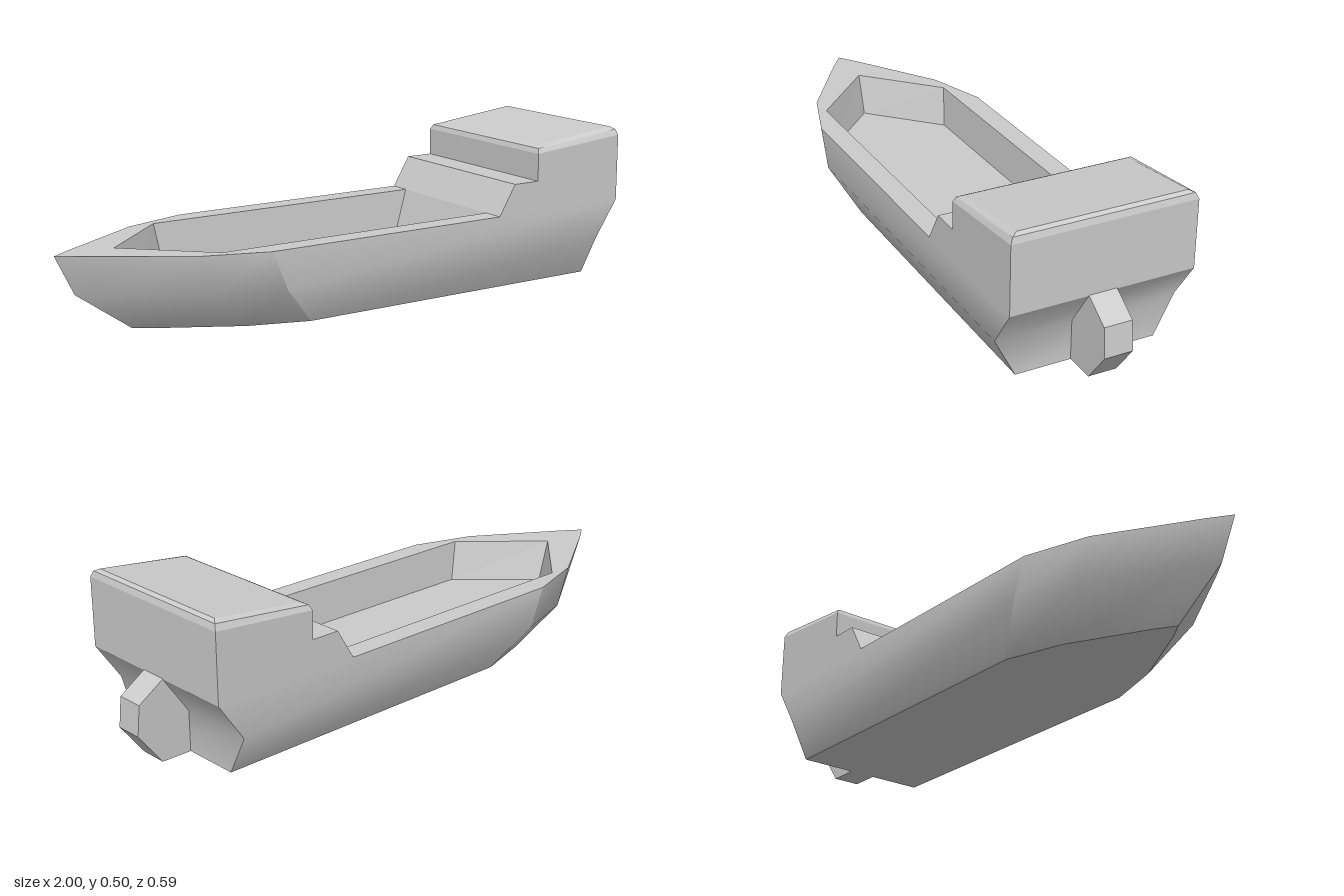
import * as THREE from 'three';

const material = new THREE.MeshStandardMaterial({ color: 0xcccccc });
const HALF = 0.297, DECK = 0.255, CHINE = 0.13, FLOOR = 0.12;

// Skin over rows of [x, y, z] points; each row has the same count
function skin(rows, closed = false, flat = false) {
  const n = rows[0].length, index = [];
  for (let i = 0; i < rows.length - 1; i++) {
    for (let j = 0; j < (closed ? n : n - 1); j++) {
      const k = (j + 1) % n;
      const a = i * n + j, b = i * n + k, c = a + n, d = b + n;
      index.push(a, b, d, a, d, c);
    }
  }
  let geo = new THREE.BufferGeometry();
  geo.setAttribute('position', new THREE.Float32BufferAttribute(rows.flat(2), 3));
  geo.setIndex(index);
  if (flat) geo = geo.toNonIndexed();
  geo.computeVertexNormals();
  return geo;
}

// Full symmetric loop from the half outline [x, z], running counter-clockwise from above
function loop(half) {
  const other = half.filter(p => p[1] > 0).reverse().map(([x, z]) => [x, -z]);
  return [...half, ...other];
}

const toShape = pts => new THREE.Shape(pts.map(([x, y]) => new THREE.Vector2(x, y)));

// Horizontal plate facing up (dir = 1) or down (dir = -1)
function plate(shape, y, dir = 1) {
  return new THREE.ShapeGeometry(shape).rotateX(-dir * Math.PI / 2).translate(0, y, 0);
}

// Side profile extruded across the beam
function slab(pts, width, zMid = 0) {
  return new THREE.ExtrudeGeometry(toShape(pts), { depth: width, bevelEnabled: false })
    .translate(0, 0, zMid - width / 2);
}

export function createModel() {
  const group = new THREE.Group();
  const add = (name, geo) => {
    const mesh = new THREE.Mesh(geo, material);
    mesh.name = name;
    group.add(mesh);
  };

  // Half outlines [x, z] from stem to stern at keel, chine and deck
  const levels = [
    { y: 0, pts: [[-0.76, 0], [-0.7, 0.04], [-0.46, 0.17], [-0.27, 0.23], [0.82, 0.23]] },
    { y: CHINE, pts: [[-0.94, 0], [-0.87, 0.05], [-0.6, 0.23], [-0.39, HALF], [0.82, HALF]] },
    { y: DECK, pts: [[-1, 0], [-0.93, 0.05], [-0.65, 0.23], [-0.44, HALF], [0.905, HALF]] },
  ];

  // Hull sides, with a crease at the shoulder between bow and body
  for (const [side, s] of [['left', 1], ['right', -1]]) {
    for (const [part, from, to] of [['Bow', 0, 4], ['Hull', 3, 5]]) {
      const rows = levels.map(({ y, pts }) => {
        const row = pts.slice(from, to).map(([x, z]) => [x, y, z * s]);
        return s > 0 ? row : row.reverse();
      });
      add(side + part, skin(rows));
    }
  }

  // Stern plate, raked outward above the chine
  add('transom', skin(levels.map(({ y, pts }) => {
    const [x, z] = pts[4];
    return [[x, y, z], [x, y, -z]];
  })));
  add('hullBottom', plate(toShape(loop(levels[0].pts)), 0, -1));

  // Deck with the open cargo hold
  const rim = loop([[-0.81, 0], [-0.57, 0.226], [0.405, 0.226]]);
  const base = loop([[-0.77, 0], [-0.545, 0.216], [0.36, 0.216]]);
  const deck = toShape(loop(levels[2].pts));
  deck.holes.push(new THREE.Path(rim.map(([x, z]) => new THREE.Vector2(x, z))));
  add('deck', plate(deck, DECK));
  add('holdWalls', skin([
    rim.map(([x, z]) => [x, DECK, z]),
    base.map(([x, z]) => [x, FLOOR, z]),
  ], true, true));
  add('holdFloor', plate(toShape(base), FLOOR));

  // Sloped step in front of the deckhouse
  add('deckhouseStep', slab([[0.405, DECK], [0.57, DECK], [0.57, 0.355], [0.465, 0.355]], 2 * HALF));

  // Deckhouse: rings [inset, front y, back y] up to a bevelled, tilted roof
  const rings = [[0, DECK, DECK], [0, 0.445, 0.476], [0.009, 0.461, 0.495], [0.026, 0.467, 0.503]];
  const house = rings.map(([d, yf, yb]) => {
    const x0 = 0.56 + d * 0.7, x1 = 0.905 - d * 0.7, z = HALF - d;
    return [[x0, yf, z], [x1, yb, z], [x1, yb, -z], [x0, yf, -z]];
  });
  add('deckhouse', skin(house, true, true));
  const [a, b, c, d] = house[3];
  add('deckhouseRoof', skin([[a, b], [d, c]], false, true));

  // Rudder behind the stern
  add('rudder', slab([
    [0.82, 0], [0.92, 0], [1, 0.105], [0.99, 0.2], [0.905, 0.257], [0.82, CHINE],
  ], 0.091, 0.004));

  return group;
}
